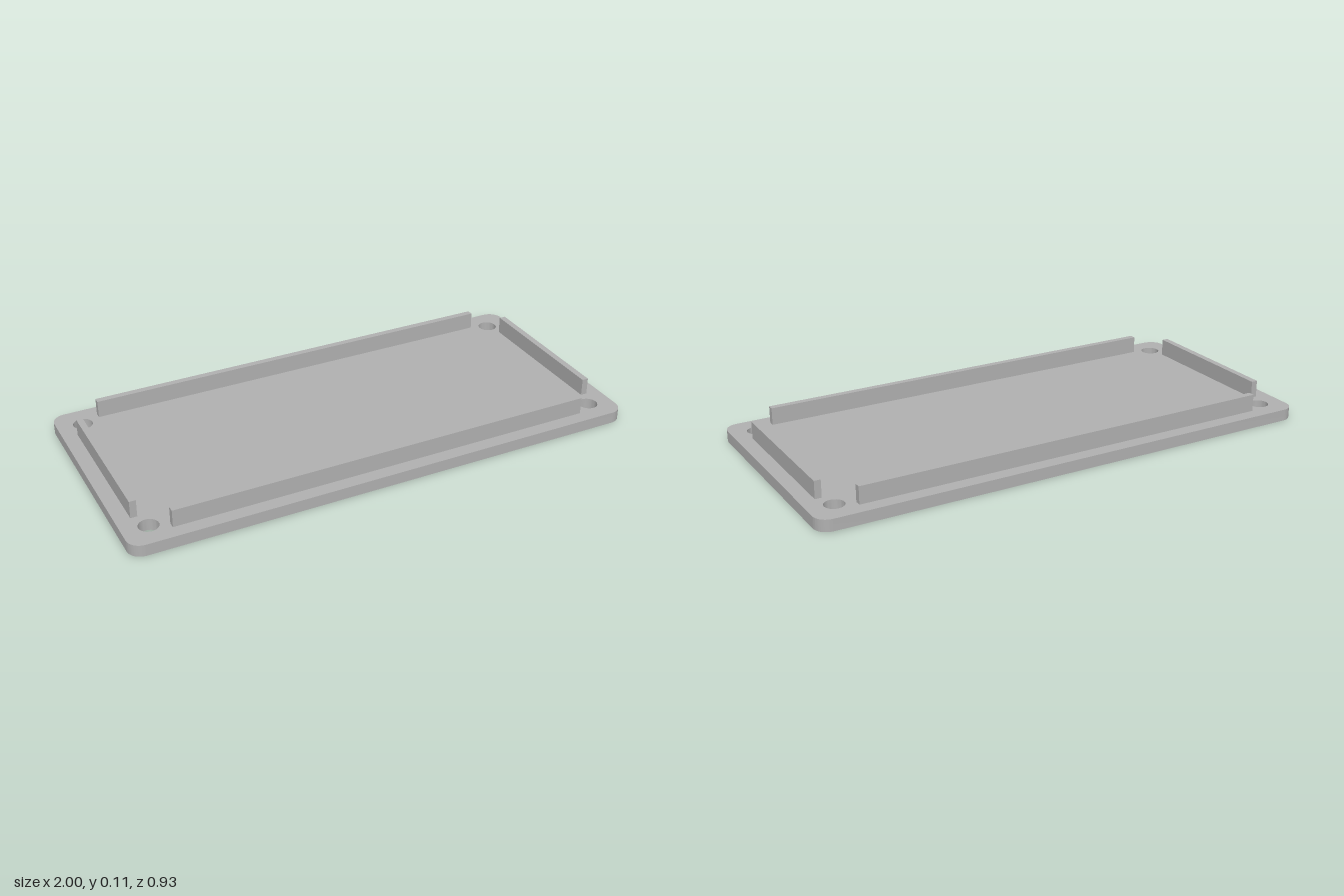
import * as THREE from 'three';
import { toCreasedNormals } from 'three/addons/utils/BufferGeometryUtils.js';

const HALF_X = 1, HALF_Z = 0.467, THICK = 0.045, CORNER = 0.053;
const RIB_TOP = 0.112, RIB_WIDTH = 0.025;
const HOLE_X = 0.902, HOLE_Z = 0.367, HOLE_R = 0.037;

export function createModel() {
  const group = new THREE.Group();
  const grey = new THREE.MeshStandardMaterial({ name: 'grey', color: 0xb0b0b0 });

  const add = (name, geometry) => {
    const mesh = new THREE.Mesh(geometry, grey);
    mesh.name = name;
    group.add(mesh);
    return mesh;
  };

  // Base plate: rounded rectangle with four screw holes
  const outline = new THREE.Shape();
  const cx = HALF_X - CORNER, cz = HALF_Z - CORNER;
  [[cx, cz], [-cx, cz], [-cx, -cz], [cx, -cz]].forEach(([x, y], i) => {
    outline.absarc(x, y, CORNER, i * Math.PI / 2, (i + 1) * Math.PI / 2, false);
  });
  outline.closePath();
  for (const sx of [-1, 1]) {
    for (const sz of [-1, 1]) {
      const hole = new THREE.Path();
      hole.absarc(sx * HOLE_X, sz * HOLE_Z, HOLE_R, 0, Math.PI * 2, true);
      outline.holes.push(hole);
    }
  }
  const plate = new THREE.ExtrudeGeometry(outline, {
    depth: THICK, bevelEnabled: false, curveSegments: 16,
  });
  plate.rotateX(-Math.PI / 2);
  add('basePlate', toCreasedNormals(plate, Math.PI / 5));

  // Upright locating ribs along each edge
  const ribHeight = RIB_TOP - THICK;
  const ribY = THICK + ribHeight / 2;
  for (const s of [-1, 1]) {
    add(s > 0 ? 'frontRib' : 'backRib', new THREE.BoxGeometry(1.664, ribHeight, RIB_WIDTH))
      .position.set(0, ribY, s * 0.401);
    add(s > 0 ? 'leftRib' : 'rightRib', new THREE.BoxGeometry(RIB_WIDTH, ribHeight, 0.6))
      .position.set(s * 0.931, ribY, 0);
  }

  return group;
}
